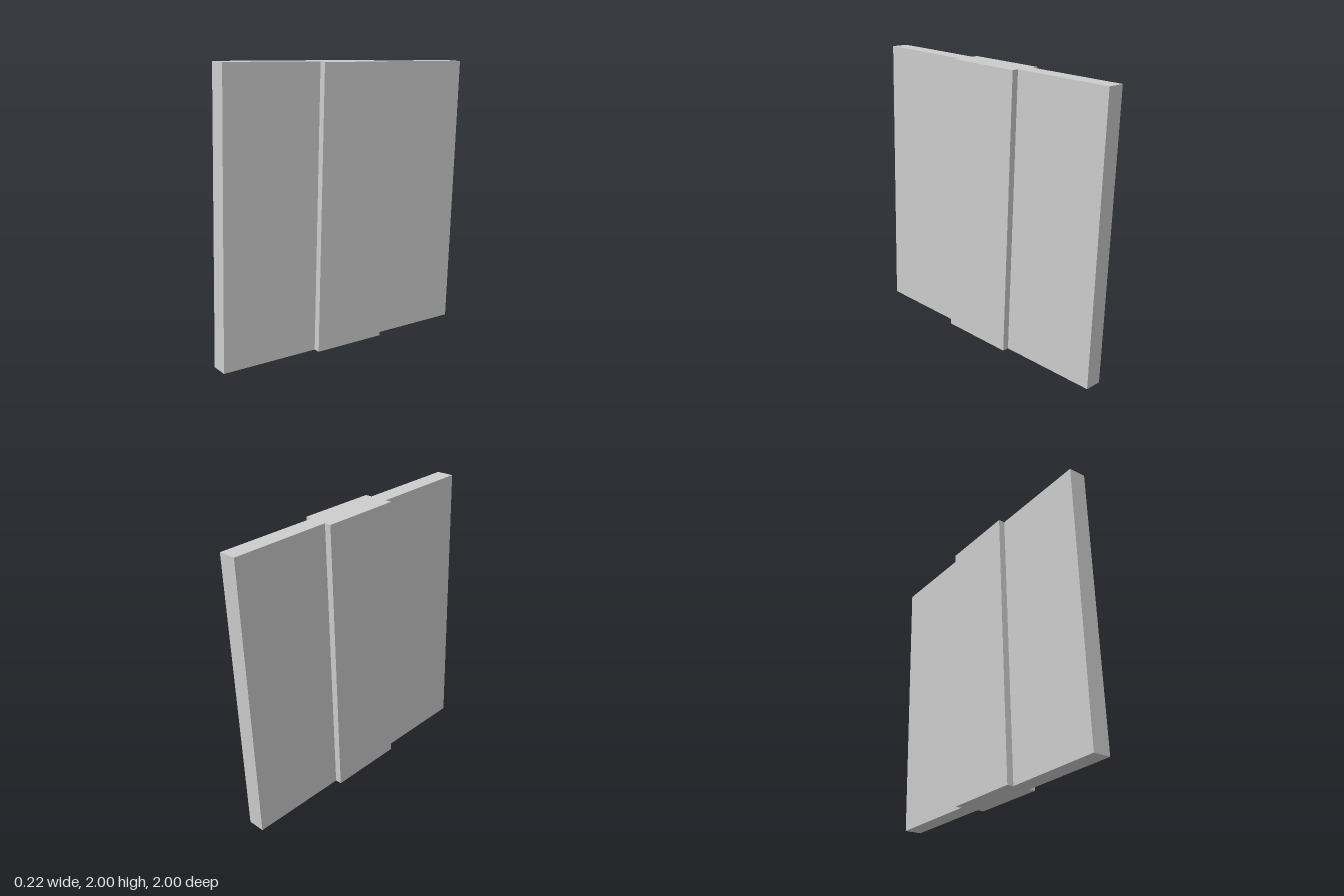
import * as THREE from 'three';

export function createModel() {
  const group = new THREE.Group();
  const material = new THREE.MeshStandardMaterial({ color: 0xcccccc, flatShading: true });

  const tilt = THREE.MathUtils.degToRad(2);
  const size = 2 / (Math.cos(tilt) + Math.sin(tilt)); // square panel that fits 2 x 2 when tilted
  const half = size / 2;

  // Plan outline of the panel with a raised middle band on each face, as [x, z]
  const outline = [
    [-0.062, half], [0.06, half],
    [0.06, 0.27], [0.107, 0.27], [0.107, -0.267], [0.06, -0.267],
    [0.06, -half], [-0.062, -half],
    [-0.062, -0.275], [-0.108, -0.275], [-0.108, 0.27], [-0.062, 0.27],
  ];
  const shape = new THREE.Shape(outline.map(([x, z]) => new THREE.Vector2(x, -z)));

  // Extrude upward, centre, then lean the panel slightly backward
  const geometry = new THREE.ExtrudeGeometry(shape, { depth: size, bevelEnabled: false });
  geometry.rotateX(-Math.PI / 2);
  geometry.translate(0, -half, 0);

  const panel = new THREE.Mesh(geometry, material);
  panel.name = 'bandedPanel';
  panel.rotation.x = -tilt;
  panel.position.y = 1;
  group.add(panel);

  return group;
}
